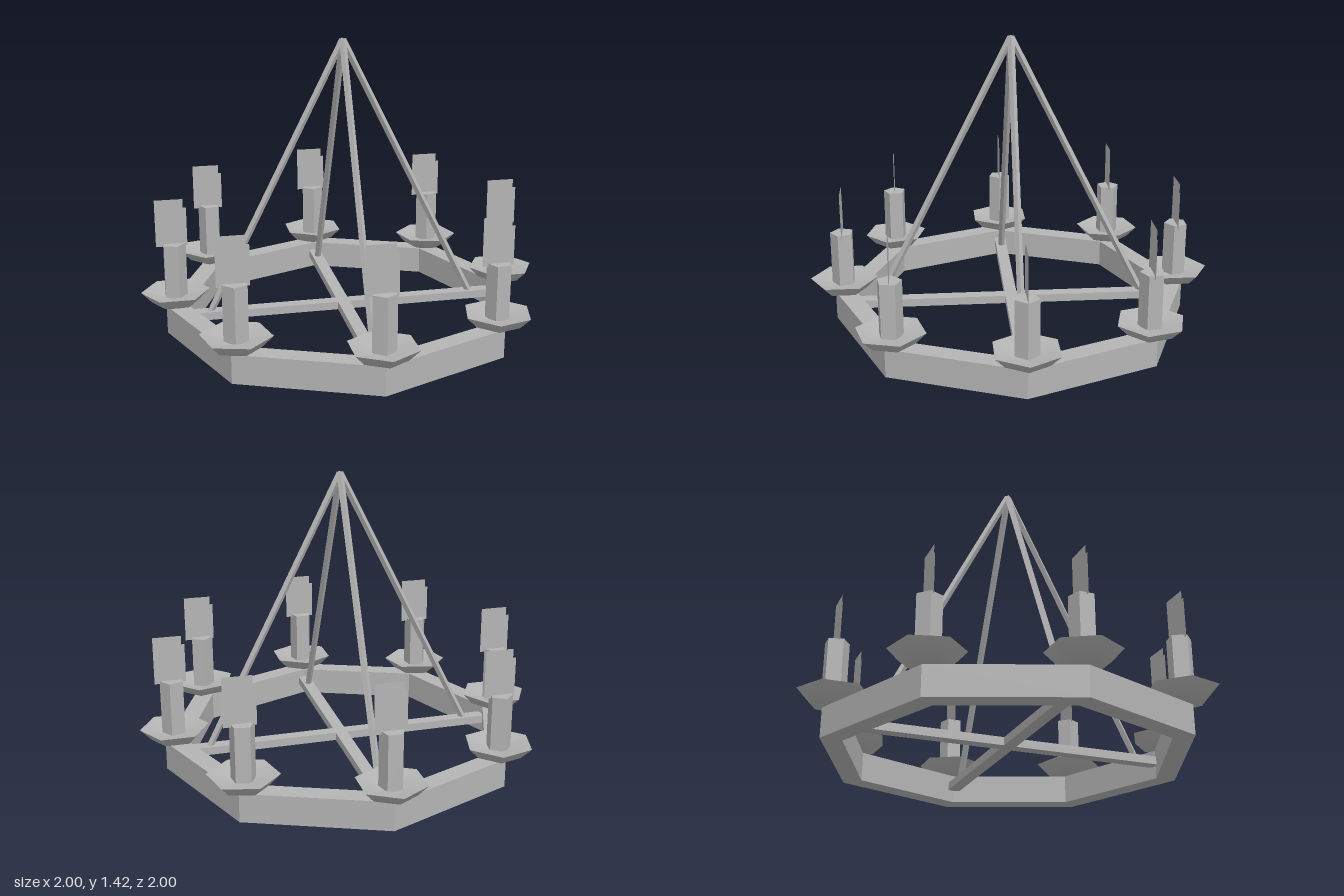
import * as THREE from 'three';
import { toCreasedNormals } from 'three/addons/utils/BufferGeometryUtils.js';

export function createModel() {
  const model = new THREE.Group();
  const grey = new THREE.MeshStandardMaterial({ color: 0xb4b4b4 });
  grey.name = 'plain grey';

  const add = (parent, name, geometry) => {
    const mesh = new THREE.Mesh(geometry, grey);
    mesh.name = name;
    parent.add(mesh);
    return mesh;
  };
  const v2 = (points) => points.map(([x, y]) => new THREE.Vector2(x, y));

  // Octagonal ring
  const corners = [[0.88, 0], [0.635, 0.62], [0, 0.88], [-0.635, 0.62],
    [-0.88, 0], [-0.635, -0.62], [0, -0.88], [0.635, -0.62]];
  const ringShape = new THREE.Shape(v2(corners));
  const inner = corners.map(([x, z]) => [x * 0.885, z * 0.885]).reverse();
  ringShape.holes.push(new THREE.Path(v2(inner)));
  const ring = new THREE.ExtrudeGeometry(ringShape, { depth: 0.14, bevelEnabled: false });
  ring.rotateX(-Math.PI / 2);
  add(model, 'ring', ring);

  // Crossed bars inside the ring
  add(model, 'crossBarX', new THREE.BoxGeometry(1.55, 0.04, 0.06)).position.y = 0.08;
  add(model, 'crossBarZ', new THREE.BoxGeometry(0.06, 0.04, 1.55)).position.y = 0.08;

  // Four hanging rods, diamond in section, meeting at the apex
  const foot = new THREE.Vector3(0, 0.08, 0.672);
  const apex = new THREE.Vector3(0, 1.417, 0);
  const span = apex.clone().sub(foot);
  const rodGeometry = toCreasedNormals(new THREE.CylinderGeometry(0.017, 0.017, span.length(), 4), 0.5);
  rodGeometry.rotateX(Math.atan2(span.z, span.y));
  rodGeometry.translate(0, (foot.y + apex.y) / 2, (foot.z + apex.z) / 2);
  for (let i = 0; i < 4; i++) {
    add(model, 'hangingRod', rodGeometry).rotation.y = i * Math.PI / 2;
  }

  // Candle parts, shared by all eight lamps
  const bowl = new THREE.LatheGeometry(v2([[0, 0.14], [0.05, 0.14], [0.115, 0.165], [0.166, 0.218]]), 6);
  const dish = new THREE.LatheGeometry(v2([[0.166, 0.218], [0, 0.185]]), 6);
  const candle = toCreasedNormals(new THREE.CylinderGeometry(0.059, 0.059, 0.29, 5), 0.5);
  candle.translate(0, 0.315, 0);
  // Thin stepped flame card, set just in front of the wick line
  const flame = new THREE.ShapeGeometry(new THREE.Shape(v2([
    [-0.083, 0.447], [0.067, 0.447], [0.067, 0.637], [0.052, 0.637], [0.052, 0.68], [-0.083, 0.68]])));
  flame.translate(0, 0, 0.001);

  for (let i = 0; i < 8; i++) {
    const angle = i * Math.PI / 4;
    const [radiusX, radiusZ] = i % 2 ? [0.857, 0.834] : [0.834, 0.834];
    const lamp = new THREE.Group();
    lamp.name = 'candleLamp';
    lamp.position.set(Math.sin(angle) * radiusX, 0, Math.cos(angle) * radiusZ);
    model.add(lamp);
    // Opposite lamps share the same turn
    const turn = (i % 4) * Math.PI / 4;
    for (const [name, geometry] of [['dripBowl', bowl], ['dripDish', dish], ['candle', candle]]) {
      add(lamp, name, geometry).rotation.y = turn;
    }
    // One card faces the front, one the back
    add(lamp, 'flameFront', flame);
    add(lamp, 'flameBack', flame).rotation.y = Math.PI;
  }
  return model;
}
